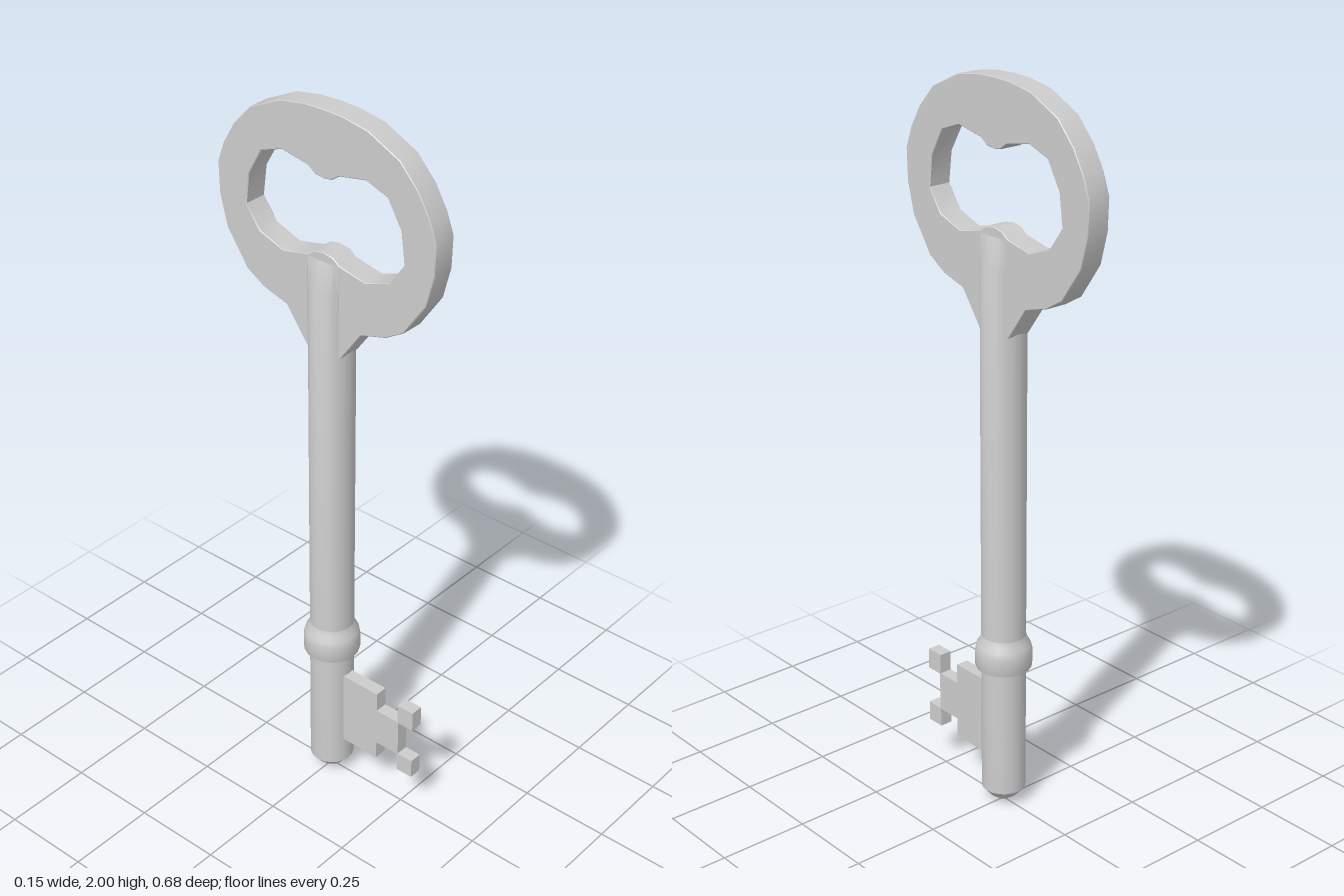
import * as THREE from 'three';
import { toCreasedNormals } from 'three/addons/utils/BufferGeometryUtils.js';

const material = new THREE.MeshStandardMaterial({ color: 0xcccccc });
const HALF_BOW = 0.033; // half thickness of the bow

function addMesh(group, name, geometry) {
  const mesh = new THREE.Mesh(toCreasedNormals(geometry, 0.65), material);
  mesh.name = name;
  group.add(mesh);
}

// Full outline from a half profile running from top centre to bottom
function mirrored(half) {
  const other = half.filter(([z]) => z > 0).reverse().map(([z, y]) => [-z, y]);
  return [...half, ...other].map(([z, y]) => new THREE.Vector2(z, y));
}

// Plate lying in the z-y plane, centred on x = 0, with finely eased edges
function plate(shape, halfThickness) {
  const ease = 0.002;
  const depth = 2 * (halfThickness - ease);
  const geometry = new THREE.ExtrudeGeometry(shape, {
    depth, bevelThickness: ease, bevelSize: ease, bevelOffset: -ease, bevelSegments: 1,
  });
  return geometry.translate(0, 0, -depth / 2).rotateY(-Math.PI / 2);
}

function lathe(profile) {
  return new THREE.LatheGeometry(profile.map(([r, y]) => new THREE.Vector2(r, y)), 20);
}

// Sinks the upper end of the shaft into the faces of the bow, keeping its width
function sinkIntoBow(geometry, start, end) {
  const position = geometry.attributes.position;
  for (let i = 0; i < position.count; i++) {
    const x = position.getX(i);
    const rise = Math.abs(x) - HALF_BOW;
    const keep = 1 - THREE.MathUtils.clamp((position.getY(i) - start) / (end - start), 0, 1);
    if (rise > 0) position.setX(i, Math.sign(x) * (HALF_BOW + rise * keep));
  }
  return geometry;
}

export function createModel() {
  const key = new THREE.Group();
  key.name = 'key';

  // Bow: rounded handle with a lobed opening wound against the outline
  const bow = new THREE.Shape(mirrored([
    [0, 2], [0.06, 1.998], [0.135, 1.985], [0.23, 1.94], [0.285, 1.88], [0.32, 1.82],
    [0.34, 1.765], [0.337, 1.68], [0.315, 1.595], [0.25, 1.5], [0.195, 1.467],
    [0.12, 1.445], [0.055, 1.355],
  ]));
  bow.holes.push(new THREE.Path(mirrored([
    [0, 1.825], [0.025, 1.828], [0.05, 1.845], [0.13, 1.86], [0.195, 1.837], [0.237, 1.765],
    [0.248, 1.68], [0.205, 1.62], [0.13, 1.593], [0.05, 1.61], [0.03, 1.625], [0, 1.63],
  ]).reverse()));
  addMesh(key, 'bow', plate(bow, HALF_BOW));

  // Shaft with a blunt tip, sinking into the bow at its upper end
  const shaft = lathe([
    [0, 0], [0.018, 0.006], [0.04, 0.022], [0.06, 0.045], [0.06, 1.53], [0.06, 1.605], [0, 1.605],
  ]);
  addMesh(key, 'shaft', sinkIntoBow(shaft, 1.53, 1.605));

  // Collar above the bit
  addMesh(key, 'collar', lathe([
    [0.055, 0.413], [0.075, 0.413], [0.077, 0.42], [0.077, 0.46], [0.073, 0.478],
    [0.064, 0.492], [0.059, 0.51],
  ]));

  // Bit: stepped blade and two corner teeth, as [z0, z1, y0, y1]
  const bit = new THREE.Group();
  bit.name = 'bit';
  const pieces = {
    blade: [0.03, 0.175, 0.124, 0.347],
    neck: [0.17, 0.25, 0.178, 0.29],
    upperTooth: [0.247, 0.298, 0.288, 0.347],
    lowerTooth: [0.247, 0.298, 0.124, 0.18],
  };
  for (const [name, [z0, z1, y0, y1]] of Object.entries(pieces)) {
    const box = new THREE.BoxGeometry(0.036, y1 - y0, z1 - z0);
    addMesh(bit, name, box.translate(0, (y0 + y1) / 2, (z0 + z1) / 2));
  }
  key.add(bit);

  return key;
}
